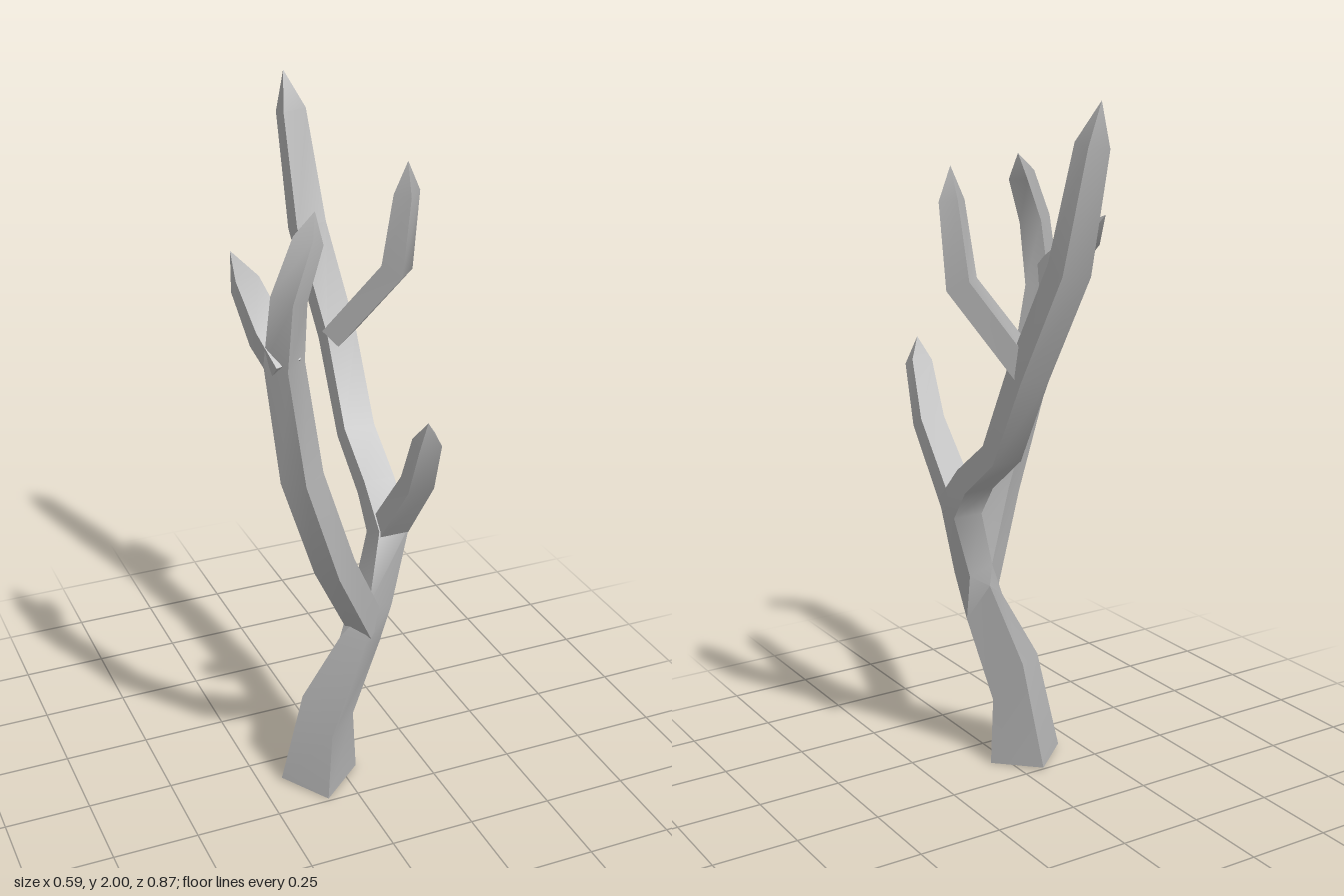
import * as THREE from 'three';
import { toCreasedNormals } from 'three/addons/utils/BufferGeometryUtils.js';

const V = (x, y, z) => new THREE.Vector3(x, y, z);

// Square cross-sections along a path; each point is [x, y, z, halfWidth, halfThickness].
// The last point is the apex and gets no section of its own.
function sections(path, ref) {
  const c = path.map(([x, y, z]) => V(x, y, z));
  const rings = [];
  for (let i = 0; i < c.length - 1; i++) {
    const t = c[i + 1].clone().sub(c[i]).normalize();
    if (i > 0) t.add(c[i].clone().sub(c[i - 1]).normalize()).normalize();
    const u = ref.clone().addScaledVector(t, -ref.dot(t)).normalize();
    const v = t.clone().cross(u);
    const [, , , w, h] = path[i];
    rings.push([[1, -1], [1, 1], [-1, 1], [-1, -1]].map(([a, b]) =>
      c[i].clone().addScaledVector(u, a * w).addScaledVector(v, b * h)));
  }
  return rings;
}

// Skin four-cornered rings, close the bottom and come to a point at the apex.
function loft(name, rings, apex, material) {
  const pos = [];
  const tri = (...pts) => pts.forEach((p) => pos.push(p.x, p.y, p.z));
  const first = rings[0], last = rings[rings.length - 1];
  tri(first[0], first[2], first[1]);
  tri(first[0], first[3], first[2]);
  for (let r = 0; r < rings.length - 1; r++) {
    const a = rings[r], b = rings[r + 1];
    for (let i = 0; i < 4; i++) {
      const j = (i + 1) % 4;
      tri(a[i], a[j], b[j]);
      tri(a[i], b[j], b[i]);
    }
  }
  for (let i = 0; i < 4; i++) tri(last[i], last[(i + 1) % 4], apex);
  const geo = new THREE.BufferGeometry();
  geo.setAttribute('position', new THREE.Float32BufferAttribute(pos, 3));
  const mesh = new THREE.Mesh(toCreasedNormals(geo, 0.7), material);
  mesh.name = name;
  return mesh;
}

export function createModel() {
  const group = new THREE.Group();
  group.name = 'bareTree';
  const bark = new THREE.MeshStandardMaterial({ color: 0xb0b0b0 });
  bark.name = 'greyBark';

  // Trunk: a square turned on its corner that twists as it rises
  const trunk = [
    [V(0.05, 0, 0.12), V(-0.055, 0.01, -0.01), V(-0.185, 0.01, 0.105), V(-0.09, 0, 0.24)],
    [V(0.035, 0.2, 0.13), V(-0.02, 0.33, 0.05), V(-0.13, 0.31, 0.14), V(-0.07, 0.2, 0.22)],
    [V(0.1, 0.46, 0.17), V(0.05, 0.57, 0.12), V(-0.03, 0.51, 0.18), V(0.03, 0.5, 0.23)],
    [V(0.12, 0.6, 0.205), V(0.115, 0.61, 0.125), V(0.035, 0.63, 0.13), V(0.045, 0.62, 0.215)],
    [V(0.172, 0.84, 0.2), V(0.172, 0.8, 0.115), V(0.08, 0.8, 0.115), V(0.08, 0.84, 0.2)],
  ];

  // Main limb carries on from the trunk and leans to the back
  const limb = [
    [0.125, 0.92, 0.075, 0.046, 0.036], [0.125, 1.03, -0.07, 0.046, 0.034],
    [0.122, 1.28, -0.2, 0.045, 0.036], [0.085, 1.57, -0.335, 0.045, 0.036],
    [0.066, 1.89, -0.405, 0.034, 0.03], [0.05, 2.0, -0.42],
  ];
  group.add(loft('trunkAndBackLimb', [...trunk, ...sections(limb, V(1, 0, 0))],
    V(0.05, 2.0, -0.42), bark));

  // Side limb and twigs, each rooted inside the wood that bears it
  const branches = [
    ['sideLimb', V(0.55, 0, 0.83), [
      [0.05, 0.54, 0.18, 0.04, 0.04], [-0.09, 0.81, 0.28, 0.042, 0.04],
      [-0.185, 1.1, 0.285, 0.042, 0.04], [-0.22, 1.42, 0.255, 0.038, 0.038],
      [-0.225, 1.61, 0.305, 0.035, 0.032], [-0.16, 1.745, 0.275, 0.03, 0.026],
      [-0.132, 1.81, 0.25]]],
    ['sideTwig', V(1, 0, 0), [
      [-0.222, 1.41, 0.27, 0.036, 0.033], [-0.243, 1.48, 0.2, 0.042, 0.036],
      [-0.258, 1.58, 0.08, 0.033, 0.028], [-0.272, 1.65, 0.01]]],
    ['backTwig', V(0.7, 0, -0.7), [
      [0.115, 1.285, -0.19, 0.046, 0.032], [0.243, 1.51, -0.062, 0.04, 0.034],
      [0.258, 1.73, -0.04, 0.034, 0.026], [0.255, 1.82, -0.03]]],
    ['frontTwig', V(1, 0, 0), [
      [0.125, 0.82, 0.16, 0.044, 0.032], [0.135, 1.04, 0.32, 0.038, 0.028],
      [0.118, 1.2, 0.405, 0.032, 0.024], [0.105, 1.27, 0.435]]],
  ];
  for (const [name, ref, path] of branches) {
    group.add(loft(name, sections(path, ref), V(...path[path.length - 1]), bark));
  }
  return group;
}
